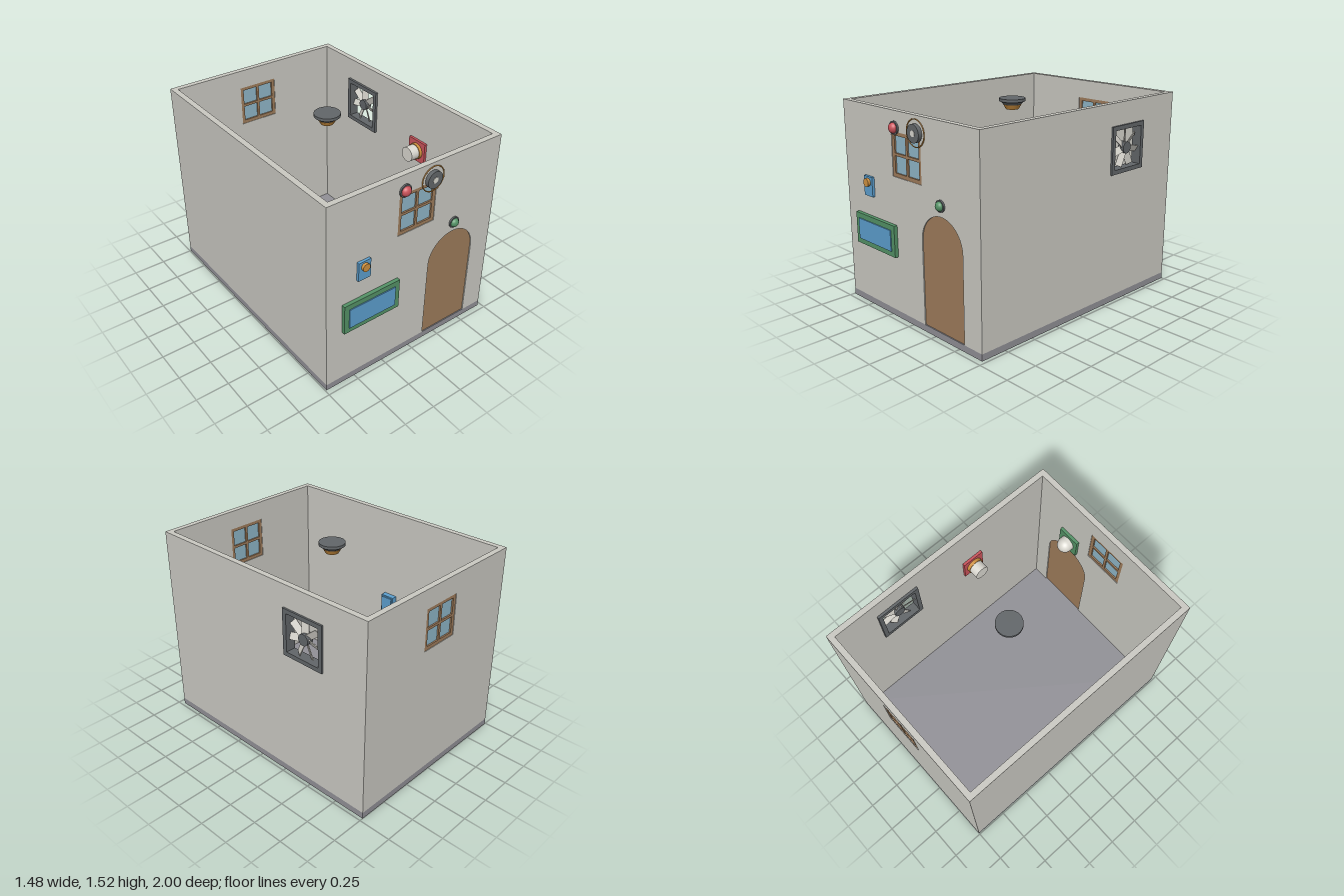
import * as THREE from 'three';

const paint = (name, color) => {
  const m = new THREE.MeshStandardMaterial({ color });
  m.name = name;
  return m;
};

export function createModel() {
  const M = {
    wall: paint('wall plaster', 0xcac9c2),
    floor: paint('floor grey', 0x919096),
    wood: paint('wood brown', 0x9e7c5b),
    glass: paint('window glass', 0x8fb6c8),
    dark: paint('dark metal', 0x626669),
    white: paint('off white', 0xdad8d0),
    blue: paint('blue', 0x5c9fce),
    green: paint('green', 0x549266),
    red: paint('red', 0xcb535b),
    orange: paint('orange', 0xd0913f),
  };
  const model = new THREE.Group();
  model.name = 'house';

  // Outer footprint and wall thickness
  const X0 = -0.742, X1 = 0.724, Z0 = -1, Z1 = 0.957, T = 0.043, FLOOR = 0.05, TOP = 1.52;
  const CX = (X0 + X1) / 2, CZ = (Z0 + Z1) / 2;

  const add = (parent, name, geo, mat, x = 0, y = 0, z = 0) => {
    const mesh = new THREE.Mesh(geo, mat);
    mesh.name = name;
    mesh.position.set(x, y, z);
    parent.add(mesh);
    return mesh;
  };
  const group = (name, x, y, z, turn = 0) => {
    const g = new THREE.Group();
    g.name = name;
    g.position.set(x, y, z);
    g.rotation.y = turn;
    model.add(g);
    return g;
  };
  const box = (w, h, d) => new THREE.BoxGeometry(w, h, d);
  // Discs and domes pointing along +z
  const disc = (rFront, rBack, d) => new THREE.CylinderGeometry(rFront, rBack, d, 32).rotateX(Math.PI / 2);
  const dome = (r) => new THREE.SphereGeometry(r, 28, 10, 0, Math.PI * 2, 0, Math.PI / 2).rotateX(Math.PI / 2);
  const trace = (p, x0, y0, x1, y1) => {
    p.moveTo(x0, y0); p.lineTo(x1, y0); p.lineTo(x1, y1); p.lineTo(x0, y1); p.closePath();
    return p;
  };
  const rect = (x0, y0, x1, y1) => trace(new THREE.Shape(), x0, y0, x1, y1);
  const hole = (x0, y0, x1, y1) => trace(new THREE.Path(), x0, y0, x1, y1);
  const extrude = (shape, depth) =>
    new THREE.ExtrudeGeometry(shape, { depth, bevelEnabled: false, curveSegments: 24 });

  // Floor slab
  add(model, 'floor', box(X1 - X0, FLOOR, Z1 - Z0), M.floor, CX, FLOOR / 2, CZ);

  // Door opening and window opening
  const DX = 0.343, DR = 0.208, DY = 0.677;
  const arch = (p) => {
    p.moveTo(DX - DR, FLOOR);
    p.lineTo(DX + DR, FLOOR);
    p.lineTo(DX + DR, DY);
    p.absarc(DX, DY, DR, 0, Math.PI, false);
    p.closePath();
    return p;
  };
  const WX = -0.01, WY = 1.217, WH = 0.158;
  const windowHole = () => hole(WX - WH, WY - WH, WX + WH, WY + WH);

  // Front wall: the outline steps around the door, which stands on the floor
  const front = new THREE.Shape();
  front.moveTo(X0, FLOOR);
  front.lineTo(DX - DR, FLOOR);
  front.lineTo(DX - DR, DY);
  front.absarc(DX, DY, DR, Math.PI, 0, true);
  front.lineTo(DX + DR, FLOOR);
  front.lineTo(X1, FLOOR);
  front.lineTo(X1, TOP);
  front.lineTo(X0, TOP);
  front.closePath();
  front.holes.push(windowHole());
  add(model, 'frontWall', extrude(front, T), M.wall, 0, 0, Z1 - T);

  // Back wall
  const back = rect(X0, FLOOR, X1, TOP);
  back.holes.push(windowHole());
  add(model, 'backWall', extrude(back, T), M.wall, 0, 0, Z0);

  // Side walls; the +x one has the fan opening
  add(model, 'rightWall', box(T, TOP - FLOOR, Z1 - Z0 - 2 * T), M.wall, X0 + T / 2, (TOP + FLOOR) / 2, CZ);
  const FZ = -0.46, FY = 1.178, FH = 0.176, FI = 0.148;
  const side = rect(-(Z1 - T), FLOOR, -(Z0 + T), TOP);
  side.holes.push(hole(-FZ - FI, FY - FI, -FZ + FI, FY + FI));
  add(model, 'leftWall', extrude(side, T), M.wall, X1 - T, 0, 0).rotation.y = Math.PI / 2;

  // Arched door, slightly recessed
  add(model, 'door', extrude(arch(new THREE.Shape()), T - 0.016), M.wood, 0, 0, Z1 - T + 0.008);

  // Four-pane windows, front and back
  for (const [name, z] of [['frontWindow', Z1 - T / 2], ['backWindow', Z0 + T / 2]]) {
    const g = group(name, WX, WY, z);
    const frame = rect(-WH, -WH, WH, WH);
    for (const x of [-0.131, 0.01])
      for (const y of [-0.131, 0.01]) frame.holes.push(hole(x, y, x + 0.121, y + 0.121));
    add(g, 'windowFrame', extrude(frame, T - 0.008), M.wood, 0, 0, -T / 2 + 0.004);
    add(g, 'windowGlass', box(0.28, 0.28, 0.012), M.glass);
  }

  // Wall fan with seven pitched blades
  const fan = group('fan', X1 - T / 2, FY, FZ, Math.PI / 2);
  const fanFrame = rect(-FH, -FH, FH, FH);
  fanFrame.holes.push(hole(-FI, -FI, FI, FI));
  add(fan, 'fanFrameOuter', extrude(fanFrame, 0.014), M.dark, 0, 0, T / 2);
  add(fan, 'fanFrameInner', extrude(fanFrame, 0.02), M.dark, 0, 0, -T / 2 - 0.02);
  const sleeve = rect(-FI, -FI, FI, FI);
  sleeve.holes.push(hole(-FI + 0.004, -FI + 0.004, FI - 0.004, FI - 0.004));
  add(fan, 'fanSleeve', extrude(sleeve, T + 0.034), M.dark, 0, 0, -T / 2 - 0.02);
  add(fan, 'fanHub', disc(0.043, 0.043, 0.05), M.dark);
  for (let i = 0; i < 7; i++) {
    const arm = new THREE.Group();
    arm.name = 'fanBlade';
    arm.rotation.z = (i * Math.PI * 2) / 7;
    add(arm, 'blade', box(0.052, 0.115, 0.006), M.white, 0, 0.088, 0).rotation.y = 0.5;
    fan.add(arm);
  }

  // Framed panel on the front
  const panel = group('panel', -0.381, 0.59, Z1);
  add(panel, 'panelFrame', box(0.467, 0.235, 0.028), M.green, 0, 0, 0.014);
  add(panel, 'panelScreen', box(0.39, 0.156, 0.009), M.blue, 0, 0, 0.031);

  // Doorbell plate with round button
  const bell = group('doorbell', -0.45, 0.932, Z1);
  add(bell, 'bellPlate', box(0.1, 0.145, 0.02), M.blue, 0, 0, 0.01);
  add(bell, 'bellButton', disc(0.03, 0.03, 0.02), M.orange, 0, 0.03, 0.03);

  // Domed lamps above the window and the door
  for (const [name, x, y, r, mat] of [
    ['redLamp', -0.128, 1.402, 0.047, M.red],
    ['greenLamp', DX, 0.962, 0.042, M.green],
  ]) {
    const g = group(name, x, y, Z1);
    add(g, 'lampBase', disc(r, r, 0.012), M.dark, 0, 0, 0.006);
    add(g, 'lampDome', dome(r * 0.8), M[mat === M.red ? 'red' : 'green'], 0, 0, 0.01).scale.z = 0.87;
  }

  // Round sounder with a thin hoop
  const sounder = group('sounder', 0.107, 1.402, Z1);
  add(sounder, 'sounderBody', disc(0.063, 0.063, 0.028), M.dark, 0, 0, 0.014);
  add(sounder, 'sounderCentre', disc(0.022, 0.022, 0.004), M.white, 0, 0, 0.029);
  add(sounder, 'sounderHoop', new THREE.TorusGeometry(0.093, 0.004, 8, 48), M.orange, 0, 0, 0.006);

  // Indoor dome sensor above the door
  const sensor = group('domeSensor', DX, 1.025, Z1 - T, Math.PI);
  add(sensor, 'sensorPlate', box(0.18, 0.18, 0.024), M.green, 0, 0, 0.012);
  add(sensor, 'sensorNeck', disc(0.061, 0.061, 0.03), M.white, 0, 0, 0.037);
  add(sensor, 'sensorDome', dome(0.061), M.white, 0, 0, 0.052);

  // Indoor spotlight on the +x wall
  const spot = group('spotlight', X1 - T, 1.07, 0.217, -Math.PI / 2);
  add(spot, 'spotPlate', box(0.175, 0.175, 0.02), M.red, 0, 0, 0.01);
  add(spot, 'spotCollar', disc(0.064, 0.064, 0.025), M.orange, 0, 0, 0.032);
  add(spot, 'spotBody', disc(0.058, 0.058, 0.073), M.white, 0, 0, 0.08);

  // Indoor switch box on the -x wall
  const wallSwitch = group('wallSwitch', X0 + T, 0.75, -0.027, Math.PI / 2);
  add(wallSwitch, 'switchBox', box(0.115, 0.15, 0.045), M.blue, 0, 0, 0.0225);
  add(wallSwitch, 'switchFace', box(0.095, 0.13, 0.01), M.blue, 0, 0, 0.05);

  // Hanging ceiling detector
  const detector = group('ceilingDetector', CX, 0, CZ);
  add(detector, 'detectorDisc', new THREE.CylinderGeometry(0.097, 0.097, 0.022, 36), M.dark, 0, 1.49, 0);
  add(detector, 'detectorTaper', new THREE.CylinderGeometry(0.09, 0.065, 0.025, 36), M.dark, 0, 1.467, 0);
  add(detector, 'detectorRing', new THREE.CylinderGeometry(0.068, 0.048, 0.035, 36), M.orange, 0, 1.437, 0);

  return model;
}
